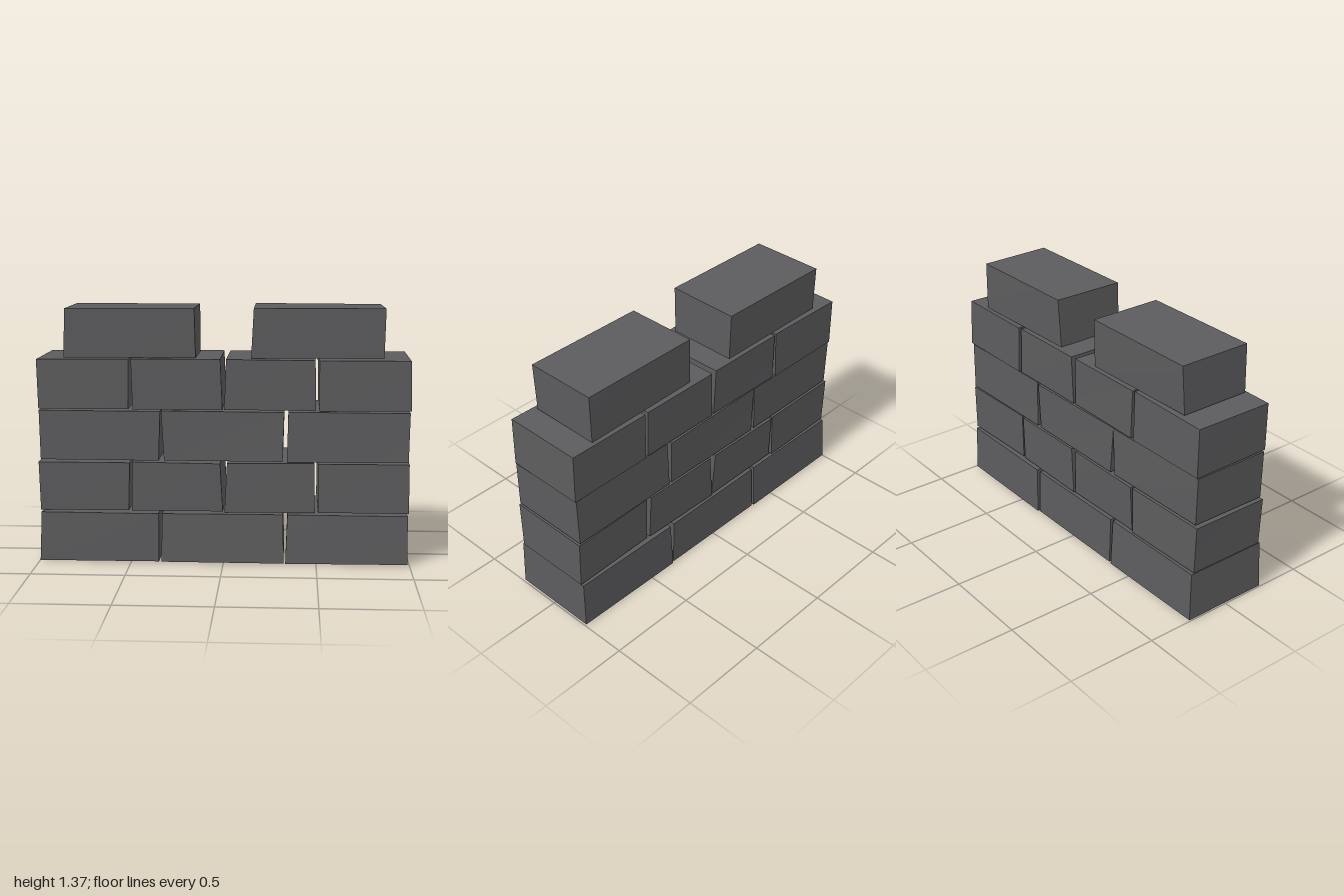
import * as THREE from 'three';

// Each course: bottom y, top y, half depth at the bottom and top,
// and its bricks as [left bottom, right bottom, left top, right top] in x.
const courses = [
  { y: [0.01, 0.278], z: [0.245, 0.237], bricks: [
    [-0.995, -0.35, -0.985, -0.35], [-0.335, 0.325, -0.33, 0.32], [0.335, 0.992, 0.345, 0.985]] },
  { y: [0.287, 0.555], z: [0.224, 0.226], bricks: [
    [-0.99, -0.51, -0.998, -0.505], [-0.497, -0.003, -0.49, -0.018], [0.004, 0.49, 0.02, 0.484], [0.505, 0.992, 0.505, 0.99]] },
  { y: [0.565, 0.833], z: [0.224, 0.224], bricks: [
    [-0.985, -0.348, -0.993, -0.337], [-0.318, 0.315, -0.335, 0.325], [0.34, 0.985, 0.345, 0.99]] },
  { y: [0.842, 1.11], z: [0.226, 0.226], bricks: [
    [-0.992, -0.51, -0.998, -0.505], [-0.485, -0.008, -0.493, -0.018], [0.006, 0.49, 0.014, 0.484], [0.508, 0.997, 0.505, 0.988]] },
  { y: [1.114, 1.378], z: [0.198, 0.204], bricks: [
    [-0.855, -0.15, -0.845, -0.155], [0.145, 0.845, 0.157, 0.85]] },
];

// Small repeatable wobble for uneven hand-cut corners
let seed = 7;
function wobble(amount) {
  seed = (seed * 16807) % 2147483647;
  return (seed / 2147483647 - 0.5) * 2 * amount;
}

// A box whose eight corners are moved to the brick's uneven outline
function brickGeometry([lb, rb, lt, rt], y, z) {
  const geometry = new THREE.BoxGeometry(1, 1, 1);
  const p = geometry.attributes.position;
  const corners = {};
  for (const sx of [-1, 1]) for (const sy of [-1, 1]) for (const sz of [-1, 1]) {
    const x = sy < 0 ? (sx < 0 ? lb : rb) : (sx < 0 ? lt : rt);
    const top = sy > 0 ? 1 : 0;
    corners[[sx, sy, sz]] = [x + wobble(0.002), y[top] + wobble(0.003), sz * z[top] + wobble(0.006)];
  }
  for (let i = 0; i < p.count; i++) {
    const key = [Math.sign(p.getX(i)), Math.sign(p.getY(i)), Math.sign(p.getZ(i))];
    p.setXYZ(i, ...corners[key]);
  }
  geometry.computeVertexNormals();
  return geometry;
}

export function createModel() {
  const wall = new THREE.Group();
  wall.name = 'brickWall';
  const stone = new THREE.MeshStandardMaterial({ color: 0x5c5c5e });
  stone.name = 'dark grey stone';

  courses.forEach((course, row) => {
    const group = new THREE.Group();
    group.name = row === courses.length - 1 ? 'battlements' : `course${row + 1}`;
    course.bricks.forEach((outline, i) => {
      const brick = new THREE.Mesh(brickGeometry(outline, course.y, course.z), stone);
      brick.name = `brick${i + 1}`;
      group.add(brick);
    });
    wall.add(group);
  });

  // Stand the wall on the ground
  wall.position.y = -new THREE.Box3().setFromObject(wall).min.y;
  return wall;
}
